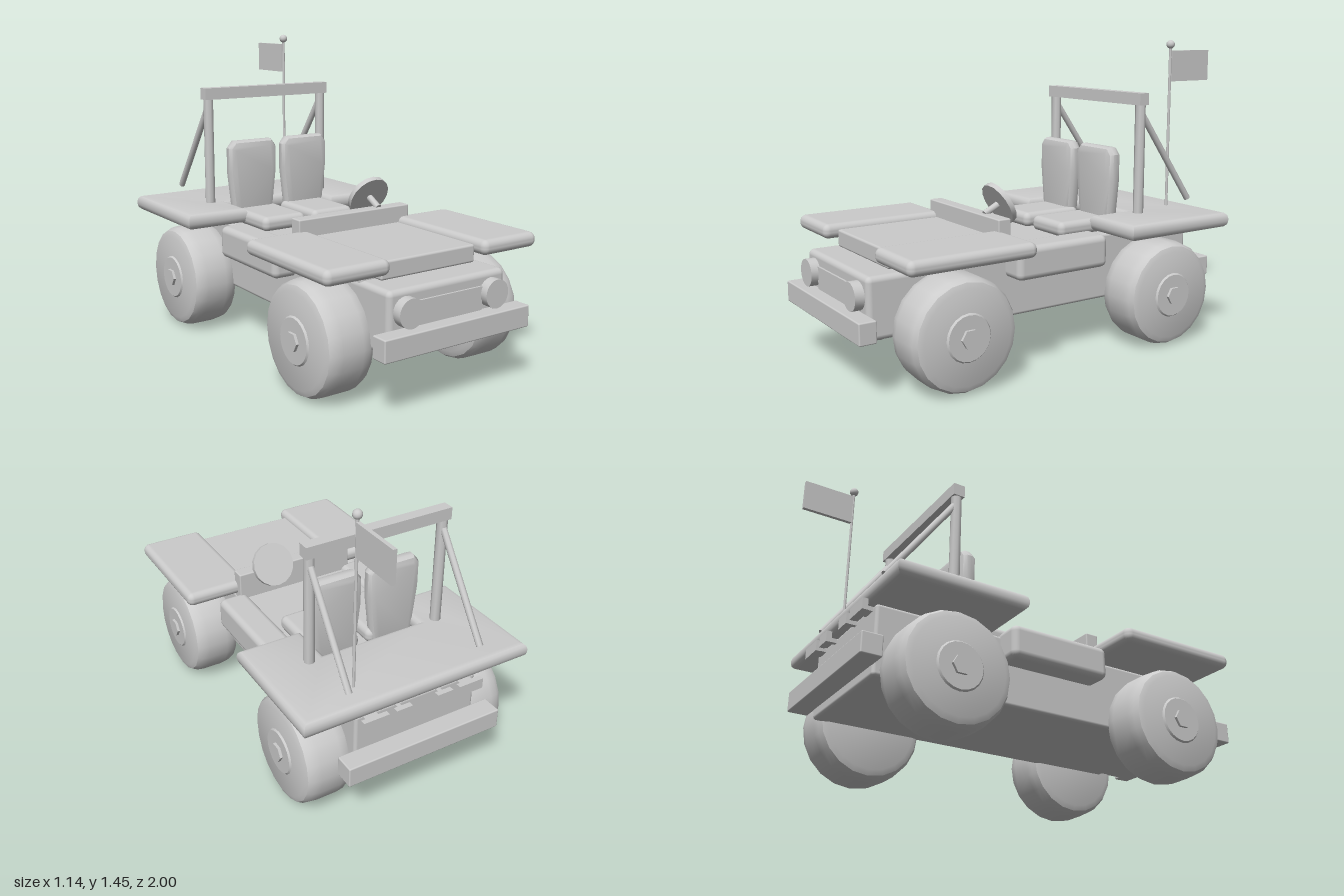
import * as THREE from 'three';
import { RoundedBoxGeometry } from 'three/addons/geometries/RoundedBoxGeometry.js';
import { toCreasedNormals } from 'three/addons/utils/BufferGeometryUtils.js';

const material = new THREE.MeshStandardMaterial({ color: 0xcccccc });

export function createModel() {
  const model = new THREE.Group();
  model.name = 'openBuggy';

  const add = (name, geometry, parent = model) => {
    const mesh = new THREE.Mesh(geometry, material);
    mesh.name = name;
    parent.add(mesh);
    return mesh;
  };
  // Box given by its limits on each axis, with optional rounded edges
  const box = (name, [x0, x1], [y0, y1], [z0, z1], radius = 0) => {
    const size = [x1 - x0, y1 - y0, z1 - z0];
    const geometry = radius ? new RoundedBoxGeometry(...size, 3, radius) : new THREE.BoxGeometry(...size);
    const mesh = add(name, geometry);
    mesh.position.set((x0 + x1) / 2, (y0 + y1) / 2, (z0 + z1) / 2);
    return mesh;
  };
  // Straight rod between two points
  const rod = (name, from, to, radius, sides = 8) => {
    const a = new THREE.Vector3(...from), b = new THREE.Vector3(...to);
    const direction = b.clone().sub(a);
    const geometry = new THREE.CylinderGeometry(radius, radius, direction.length(), sides);
    const mesh = add(name, toCreasedNormals(geometry, 0.9));
    mesh.position.copy(a).add(b).multiplyScalar(0.5);
    mesh.quaternion.setFromUnitVectors(new THREE.Vector3(0, 1, 0), direction.normalize());
    return mesh;
  };
  const polygon = (points) => new THREE.Shape(points.map(([x, y]) => new THREE.Vector2(x, y)));

  // Body, nose and hood
  box('body', [-0.31, 0.31], [0.23, 0.545], [-0.84, 0.74], 0.015);
  box('nose', [-0.315, 0.315], [0.24, 0.515], [0.5, 0.925], 0.025);
  box('hood', [-0.255, 0.255], [0.52, 0.6], [0.25, 0.8], 0.01);
  box('cowl', [-0.31, 0.31], [0.54, 0.68], [0.22, 0.285], 0.006);
  box('grille', [-0.175, 0.175], [0.34, 0.46], [0.91, 0.935]);

  // Bumpers
  box('frontBumper', [-0.39, 0.39], [0.26, 0.357], [0.92, 1.0], 0.006);
  box('rearBumper', [-0.39, 0.39], [0.275, 0.37], [-0.93, -0.835], 0.006);

  // Rear deck, notched behind the seats
  const deck = new THREE.ExtrudeGeometry(polygon([
    [-0.57, 0.27], [-0.25, 0.27], [-0.25, 0.48], [0.25, 0.48],
    [0.25, 0.27], [0.57, 0.27], [0.57, 0.875], [-0.57, 0.875],
  ]), { depth: 0.015, bevelThickness: 0.03, bevelSize: 0.03, bevelOffset: -0.03, bevelSegments: 3 });
  deck.rotateX(-Math.PI / 2);
  add('rearDeck', toCreasedNormals(deck, 0.7)).position.y = 0.585;

  // Tyre profile: radius, distance along the axle
  const tyre = toCreasedNormals(new THREE.LatheGeometry([
    [0, -0.118], [0.21, -0.118], [0.235, -0.108], [0.248, -0.085], [0.253, -0.05],
    [0.253, 0.05], [0.248, 0.085], [0.235, 0.108], [0.21, 0.118], [0, 0.118],
  ].map(([r, y]) => new THREE.Vector2(r, y)), 20), 0.6);
  const hub = toCreasedNormals(new THREE.CylinderGeometry(0.1, 0.117, 0.02, 20), 0.5);
  const cap = toCreasedNormals(new THREE.CylinderGeometry(0.043, 0.043, 0.03, 6), 0.5);

  // Tapered seat back with clipped corners
  const seatBack = new THREE.ExtrudeGeometry(polygon([
    [-0.105, 0], [0.105, 0], [0.133, 0.24], [0.133, 0.365],
    [0.105, 0.4], [-0.105, 0.4], [-0.133, 0.365], [-0.133, 0.24],
  ]), { depth: 0.025, bevelThickness: 0.024, bevelSize: 0.03, bevelOffset: -0.03, bevelSegments: 2 });
  seatBack.translate(0, 0, -0.0125);
  const smoothSeatBack = toCreasedNormals(seatBack, 0.6);

  for (const side of [1, -1]) {
    const label = side > 0 ? 'left' : 'right';
    const span = (a, b) => (side > 0 ? [a, b] : [-b, -a]);

    // Wheels with hub and hexagonal cap
    for (const [end, z] of [['Front', 0.57], ['Rear', -0.565]]) {
      const wheel = new THREE.Group();
      wheel.name = `${label}${end}Wheel`;
      add('tyre', tyre, wheel);
      add('hub', hub, wheel).position.y = 0.116;
      add('hubCap', cap, wheel).position.y = 0.124;
      wheel.position.set(side * 0.403, 0.254, z);
      wheel.rotation.z = -side * Math.PI / 2;
      model.add(wheel);
    }

    // Fenders and side tanks
    box(`${label}FrontFender`, span(0.25, 0.57), [0.557, 0.625], [0.25, 0.865], 0.03);
    box(`${label}SideTank`, span(0.27, 0.42), [0.415, 0.567], [-0.25, 0.25], 0.03);

    // Headlight and rear lights
    const lamp = new THREE.CylinderGeometry(0.063, 0.063, 0.05, 20).rotateX(Math.PI / 2);
    add(`${label}Headlight`, toCreasedNormals(lamp, 0.6)).position.set(side * 0.23, 0.425, 0.943);
    for (const [a, b] of [[0.065, 0.145], [0.18, 0.305]]) {
      box(`${label}RearLight`, span(a, b), [0.505, 0.555], [-0.9, -0.875]);
      box(`${label}RearLightMount`, span(a + 0.03, b - 0.03), [0.52, 0.54], [-0.88, -0.83]);
    }

    // Seats
    box(`${label}SeatCushion`, span(0.02, 0.262), [0.54, 0.612], [-0.42, -0.09], 0.03);
    add(`${label}SeatBack`, smoothSeatBack).position.set(side * 0.153, 0.548, -0.397);

    // Roll bar post and brace
    rod(`${label}RollBarPost`, [side * 0.334, 0.54, -0.502], [side * 0.334, 1.16, -0.502], 0.025);
    rod(`${label}RollBarBrace`, [side * 0.334, 1.11, -0.51], [side * 0.334, 0.67, -0.825], 0.016);
  }
  box('rollBarTop', [-0.362, 0.362], [1.15, 1.207], [-0.53, -0.475]);

  // Steering wheel and column
  const wheelCentre = [0.15, 0.72, 0.178];
  const tilt = [0, 0.467, -0.884];
  const offset = (d) => wheelCentre.map((c, i) => c + tilt[i] * d);
  rod('steeringWheel', offset(-0.012), offset(0.012), 0.105, 16);
  rod('steeringColumn', offset(-0.09), offset(0), 0.016);

  // Flag on a whip pole
  rod('flagPole', [0.265, 0.6, -0.75], [0.265, 1.43, -0.75], 0.007);
  add('poleTip', new THREE.SphereGeometry(0.021, 14, 10)).position.set(0.265, 1.43, -0.75);
  box('flag', [0.256, 0.274], [1.25, 1.4], [-1.0, -0.755]);

  return model;
}
